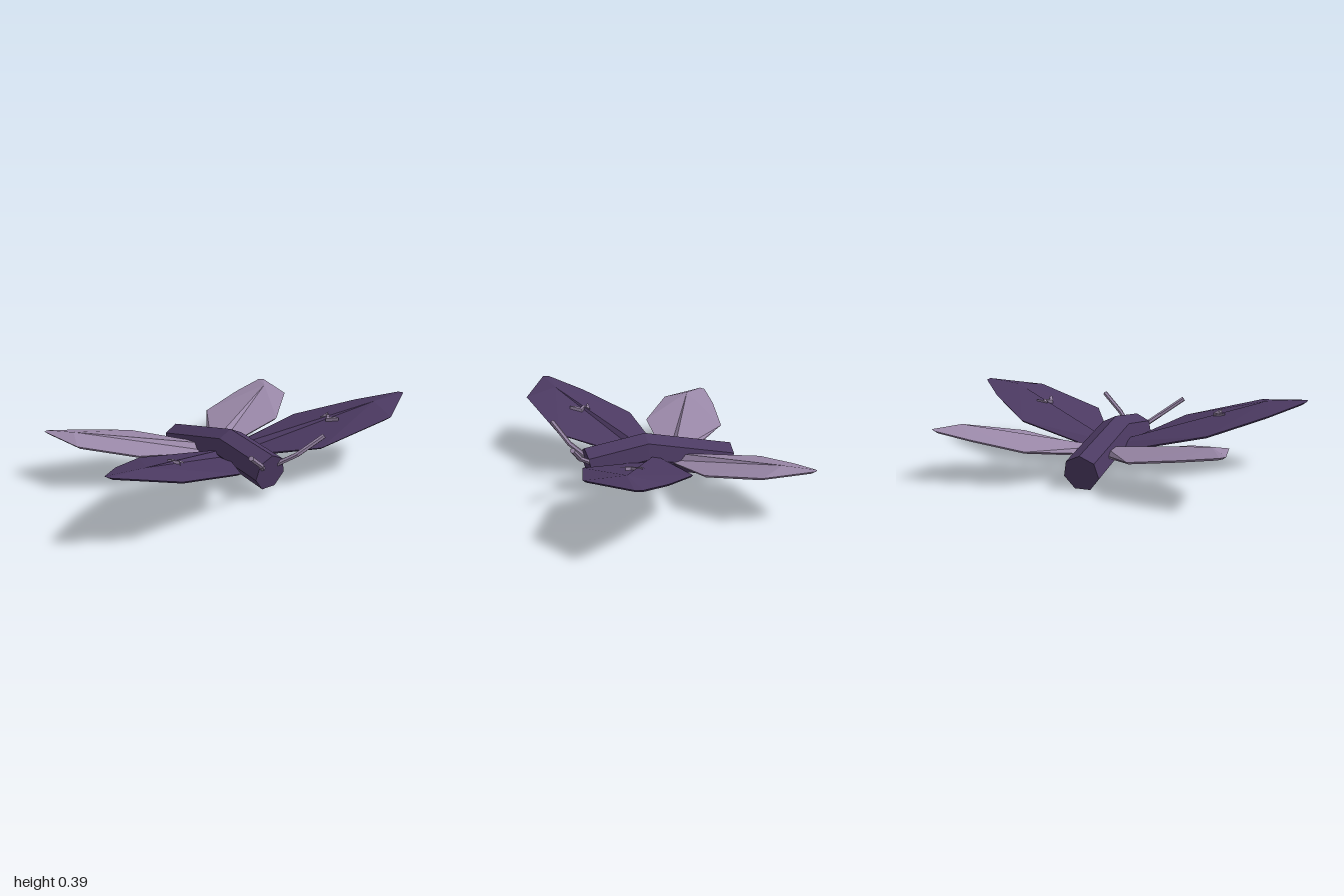
import * as THREE from 'three';

const purple = new THREE.MeshStandardMaterial({ color: 0x4c3a62 });
purple.name = 'darkPurple';
const mauve = new THREE.MeshStandardMaterial({ color: 0x9a88a8 });
mauve.name = 'paleMauve';
for (const m of [purple, mauve]) m.flatShading = true;

// Flat-shaded mesh from convex polygons; flip reverses the winding
function polyMesh(name, faces, material, flip = false) {
  const pos = [];
  for (const f of faces) {
    for (let i = 1; i < f.length - 1; i++) {
      const tri = flip ? [f[0], f[i + 1], f[i]] : [f[0], f[i], f[i + 1]];
      for (const p of tri) pos.push(...p);
    }
  }
  const g = new THREE.BufferGeometry();
  g.setAttribute('position', new THREE.Float32BufferAttribute(pos, 3));
  g.computeVertexNormals();
  const mesh = new THREE.Mesh(g, material);
  mesh.name = name;
  return mesh;
}

// Seven-sided body, bent in the middle: [z, y, tilt] of each ring, front to back
function makeBody() {
  const rings = [[0.387, 0.15, -0.15], [0.062, 0.2, 0.03], [-0.43, 0.092, 0.215]].map(([z, y, tilt]) =>
    Array.from({ length: 7 }, (_, i) => {
      const a = (i / 7) * Math.PI * 2;
      const up = 0.1 * Math.cos(a);
      return [0.1 * Math.sin(a), y + up * Math.cos(tilt), z - up * Math.sin(tilt)];
    }));
  const faces = [[...rings[0]].reverse(), rings[2]];
  for (let r = 0; r < 2; r++) {
    for (let i = 0; i < 7; i++) {
      const j = (i + 1) % 7;
      faces.push([rings[r][i], rings[r][j], rings[r + 1][j], rings[r + 1][i]]);
    }
  }
  return polyMesh('body', faces, purple);
}

// Ridged wing: outline runs from the rear root round the tip to the front root
function makeWing(name, side, { outline, ridge, plane, rise, top, under }) {
  const at = ([x, z], h) => [side * x, plane(x, z) + h, z];
  const o = outline.map((p) => at(p, 0));
  const [r0, r1] = ridge.map((p) => at(p, rise));
  const cx = ridge[1][0] * 0.6, cz = (ridge[0][1] + ridge[1][1]) / 2;
  const low = outline.map(([x, z]) => at([x && cx + (x - cx) * 0.95, cz + (z - cz) * 0.95], -0.012));
  const n = o.length;
  const upper = [];
  for (let i = 0; i < n - 1; i++) {
    if (i === 0) upper.push([o[1], o[0], r0, r1]);
    else if (i === n - 2) upper.push([o[n - 1], o[i], r1, r0]);
    else upper.push([o[i + 1], o[i], r1]);
    upper.push([o[i], o[i + 1], low[i + 1], low[i]]);
  }
  const g = new THREE.Group();
  g.name = name;
  g.add(polyMesh('wingTop', upper, top, side < 0));
  g.add(polyMesh('wingUnderside', [low], under, side < 0));
  return g;
}

const foreWing = {
  outline: [[0, -0.075], [0.55, -0.02], [0.83, 0.2], [1, 0.38], [1, 0.42], [0.71, 0.58], [0.28, 0.48], [0, 0.03]],
  ridge: [[0, 0], [0.78, 0.39]],
  plane: (x, z) => 0.15 + 0.22 * (x - 0.1) + 0.12 * z,
  rise: 0.036, top: purple, under: mauve,
};
const hindWing = {
  outline: [[0, -0.155], [0.28, -0.51], [0.57, -0.57], [0.77, -0.59], [0.795, -0.57], [0.745, -0.31], [0.49, -0.105], [0, -0.07]],
  ridge: [[0, -0.11], [0.69, -0.44]],
  plane: (x, z) => 0.14 + 0.17 * (x - 0.1) - 0.055 * z,
  rise: 0.035, top: mauve, under: purple,
};

// Small crescent marking that shows on both faces of the fore wing
function makeSpot(side) {
  const outer = [[0.578, 0.235], [0.51, 0.24], [0.535, 0.268], [0.498, 0.29], [0.535, 0.355]];
  const inner = [[0.56, 0.247], [0.535, 0.25], [0.552, 0.27], [0.52, 0.293], [0.538, 0.325]];
  const lift = (list, h) => list.map(([x, z]) => [side * x, foreWing.plane(x, z) + h, z]);
  const [ot, it] = [outer, inner].map((l) => lift(l, 0.04));
  const [ob, ib] = [outer, inner].map((l) => lift(l, -0.015));
  const faces = [];
  for (let i = 0; i < 4; i++) {
    faces.push([ot[i], ot[i + 1], it[i + 1], it[i]], [ob[i + 1], ob[i], ib[i], ib[i + 1]]);
    faces.push([ot[i + 1], ot[i], ob[i], ob[i + 1]], [it[i], it[i + 1], ib[i + 1], ib[i]]);
  }
  return polyMesh('wingSpot', faces, mauve, side < 0);
}

// Bent antenna from two straight rods
function makeAntenna(side) {
  const g = new THREE.Group();
  g.name = side > 0 ? 'leftAntenna' : 'rightAntenna';
  const pts = [[0.04, 0.175, 0.37], [0.125, 0.24, 0.455], [0.25, 0.333, 0.52]]
    .map(([x, y, z]) => new THREE.Vector3(side * x, y, z));
  for (let i = 0; i < 2; i++) {
    const dir = pts[i + 1].clone().sub(pts[i]);
    const rod = new THREE.Mesh(new THREE.CylinderGeometry(0.014, 0.014, dir.length() + 0.006, 6), mauve);
    rod.name = 'antennaRod';
    rod.position.copy(pts[i]).addScaledVector(dir, 0.5);
    rod.quaternion.setFromUnitVectors(new THREE.Vector3(0, 1, 0), dir.normalize());
    g.add(rod);
  }
  return g;
}

export function createModel() {
  const model = new THREE.Group();
  model.name = 'butterfly';
  model.add(makeBody());
  for (const side of [1, -1]) {
    const label = side > 0 ? 'left' : 'right';
    model.add(makeWing(label + 'ForeWing', side, foreWing));
    model.add(makeWing(label + 'HindWing', side, hindWing));
    model.add(makeSpot(side), makeAntenna(side));
  }
  return model;
}
